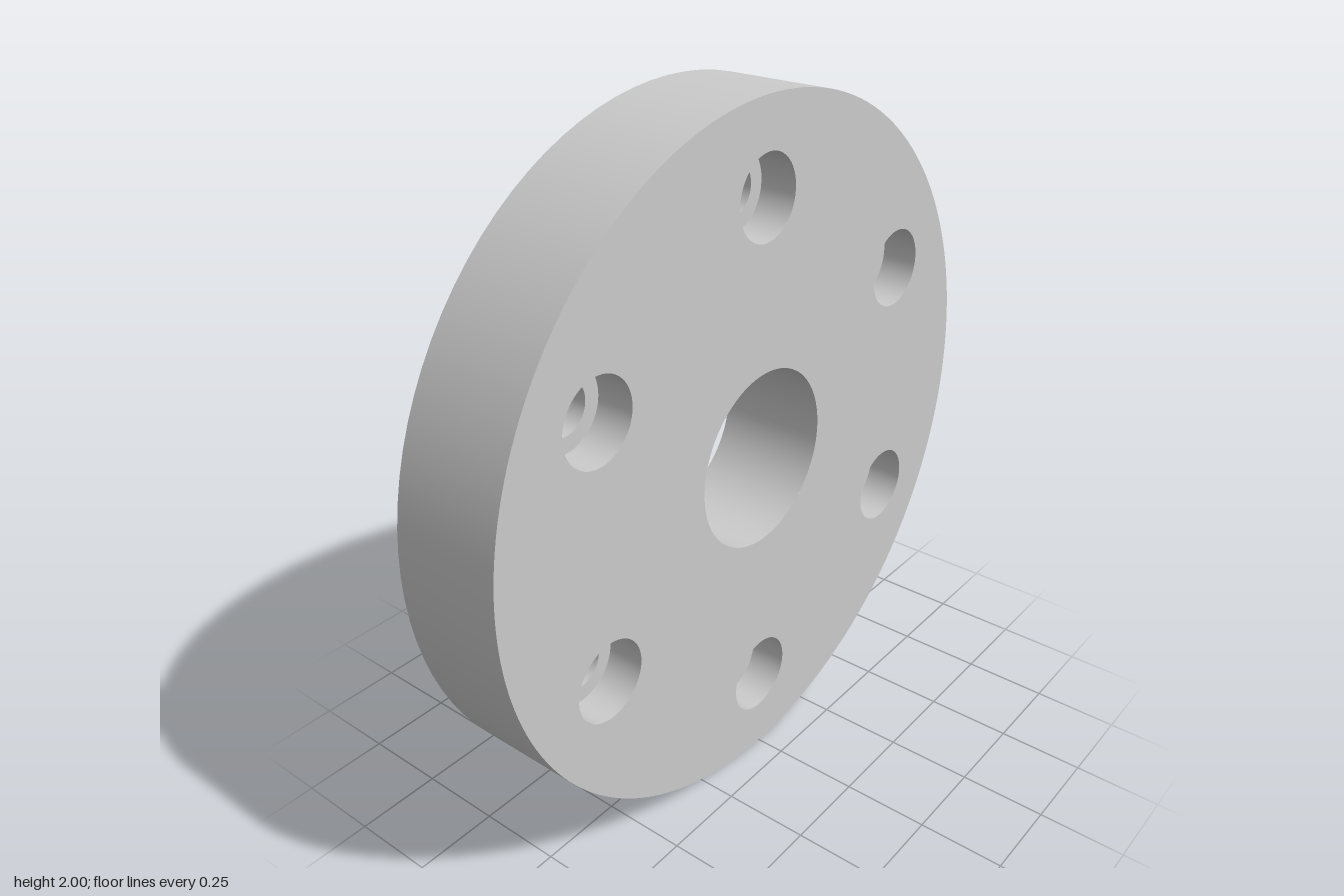
import * as THREE from 'three';
import { mergeGeometries } from 'three/addons/utils/BufferGeometryUtils.js';

const SEG = 96;
const HALF = 0.1625;      // half thickness
const OUTER_R = 1;
const BORE_R = 0.26;
const BOLT_CIRCLE_R = 0.742;
const BOLT_R = 0.072;
const COUNTERBORE_R = 0.117;
const COUNTERBORE_DEPTH = 0.11;

const boltCentres = Array.from({ length: 6 }, (_, i) => {
  const a = Math.PI / 2 + (i * Math.PI) / 3;
  return [BOLT_CIRCLE_R * Math.cos(a), BOLT_CIRCLE_R * Math.sin(a)];
});

// Surface turned about z from [radius, z] points; each step keeps its own
// normals so edges stay sharp. Rising z faces outwards, falling z inwards.
function turned(points) {
  const steps = points.slice(1).map((p, i) =>
    new THREE.LatheGeometry([new THREE.Vector2(...points[i]), new THREE.Vector2(...p)], SEG));
  return mergeGeometries(steps).rotateX(Math.PI / 2);
}

// Flat disc face with the centre bore and six bolt holes cut out
function discFace(holeRadius) {
  const shape = new THREE.Shape().absarc(0, 0, OUTER_R, 0, Math.PI * 2, false);
  const cut = (x, y, r) => shape.holes.push(new THREE.Path().absarc(x, y, r, 0, Math.PI * 2, true));
  cut(0, 0, BORE_R);
  boltCentres.forEach(([x, y]) => cut(x, y, holeRadius));
  return new THREE.ShapeGeometry(shape, SEG).translate(0, 0, HALF);
}

export function createModel() {
  const material = new THREE.MeshStandardMaterial({ color: 0xcccccc });
  const disc = new THREE.Group();
  disc.name = 'flangeDisc';
  const add = (name, geometry) => {
    const mesh = new THREE.Mesh(geometry, material);
    mesh.name = name;
    disc.add(mesh);
    return mesh;
  };

  // Disc body
  add('counterboredFace', discFace(COUNTERBORE_R));
  add('plainFace', discFace(BOLT_R).rotateY(Math.PI));
  add('outerRim', turned([[OUTER_R, -HALF], [OUTER_R, HALF]]));
  add('centreBore', turned([[BORE_R, HALF], [BORE_R, -HALF]]));

  // Stepped bolt holes
  const ledge = HALF - COUNTERBORE_DEPTH;
  const holeGeometry = turned([
    [COUNTERBORE_R, HALF], [COUNTERBORE_R, ledge], [BOLT_R, ledge], [BOLT_R, -HALF],
  ]);
  boltCentres.forEach(([x, y], i) => add(`boltHole${i + 1}`, holeGeometry).position.set(x, y, 0));

  // Stand the disc on its rim with the counterbores facing +x
  disc.rotation.y = Math.PI / 2;
  disc.position.y = OUTER_R;

  const model = new THREE.Group();
  model.name = 'flange';
  model.add(disc);
  return model;
}
